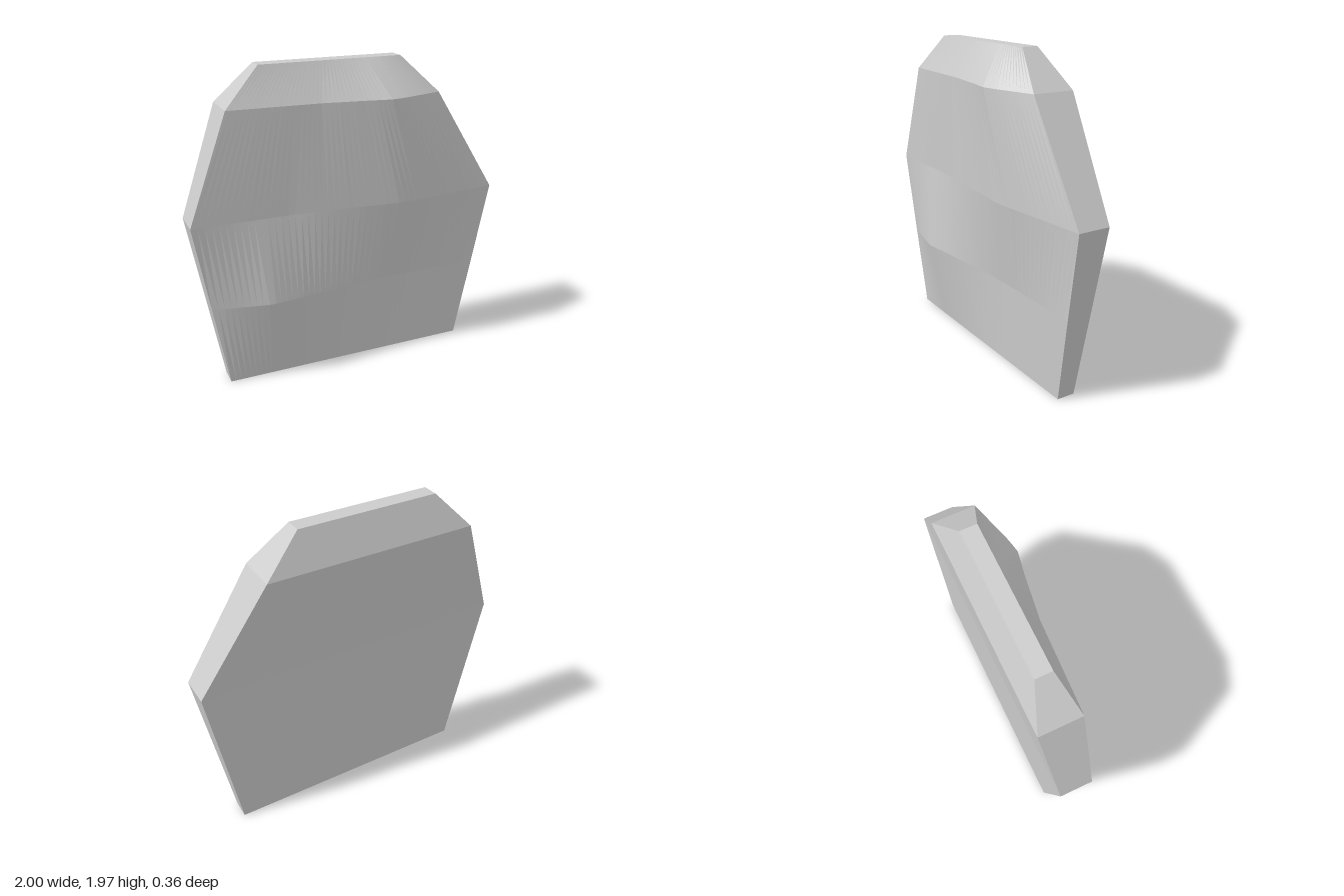
import * as THREE from 'three';

// Cross-sections from bottom to top: height, back depth, front profile as [x, z] points.
const SECTIONS = [
  { y: 0, back: -0.075, front: [[-0.81, 0.04], [0.81, 0.04]] },
  { y: 0.54, back: -0.0975, front: [[-0.905, 0.063], [-0.82, 0.085], [-0.55, 0.143], [-0.2, 0.105], [0.05, 0.075], [0.4, 0.063], [0.905, 0.063]] },
  { y: 1.08, back: -0.12, front: [[-1, 0.083], [-0.4, 0.09], [0, 0.122], [0.3, 0.152], [0.45, 0.144], [1, 0.083]] },
  { y: 1.74, back: -0.18, front: [[-0.76, 0.083], [-0.2, 0.11], [0.06, 0.148], [0.22, 0.178], [0.32, 0.158], [0.58, 0.083]] },
  { y: 1.965, back: -0.1, front: [[-0.54, 0.003], [0.35, 0.003]] },
];
const COLUMNS = 48;

// Depth of a front profile at x, by straight lines between its points.
function depthAt(profile, x) {
  for (let i = 1; i < profile.length; i++) {
    const [x0, z0] = profile[i - 1], [x1, z1] = profile[i];
    if (x <= x1 + 1e-6) return z0 + (z1 - z0) * (x - x0) / (x1 - x0);
  }
  return profile[profile.length - 1][1];
}

// Mesh from rows of points; u runs right and v up as seen from outside.
function panel(name, rows, material) {
  const positions = [];
  for (let j = 0; j < rows.length - 1; j++) {
    for (let i = 0; i < rows[j].length - 1; i++) {
      const a = rows[j][i], b = rows[j][i + 1];
      const c = rows[j + 1][i + 1], d = rows[j + 1][i];
      positions.push(...a, ...b, ...c, ...a, ...c, ...d);
    }
  }
  const geometry = new THREE.BufferGeometry();
  geometry.setAttribute('position', new THREE.Float32BufferAttribute(positions, 3));
  geometry.computeVertexNormals();
  const mesh = new THREE.Mesh(geometry, material);
  mesh.name = name;
  return mesh;
}

export function createModel() {
  const group = new THREE.Group();
  group.name = 'slab';
  const material = new THREE.MeshStandardMaterial({ color: 0xcccccc, flatShading: true });

  // Uneven front face
  const front = SECTIONS.map(({ y, front: profile }) => {
    const x0 = profile[0][0], x1 = profile[profile.length - 1][0];
    return Array.from({ length: COLUMNS + 1 }, (_, i) => {
      const x = x0 + (x1 - x0) * i / COLUMNS;
      return [x, y, depthAt(profile, x)];
    });
  });

  // Corner points of each section
  const frontLeft = front.map(row => row[COLUMNS]);
  const frontRight = front.map(row => row[0]);
  const backLeft = frontLeft.map(([x, y], j) => [x, y, SECTIONS[j].back]);
  const backRight = frontRight.map(([x, y], j) => [x, y, SECTIONS[j].back]);
  const top = SECTIONS.length - 1;
  const pairs = (a, b) => a.map((p, j) => [p, b[j]]);

  group.add(
    panel('frontFace', front, material),
    panel('backFace', pairs(backLeft, backRight), material),
    panel('leftEdge', pairs(frontLeft, backLeft), material),
    panel('rightEdge', pairs(backRight, frontRight), material),
    panel('topEdge', [[frontRight[top], frontLeft[top]], [backRight[top], backLeft[top]]], material),
    panel('bottomEdge', [[backRight[0], backLeft[0]], [frontRight[0], frontLeft[0]]], material),
  );
  return group;
}
